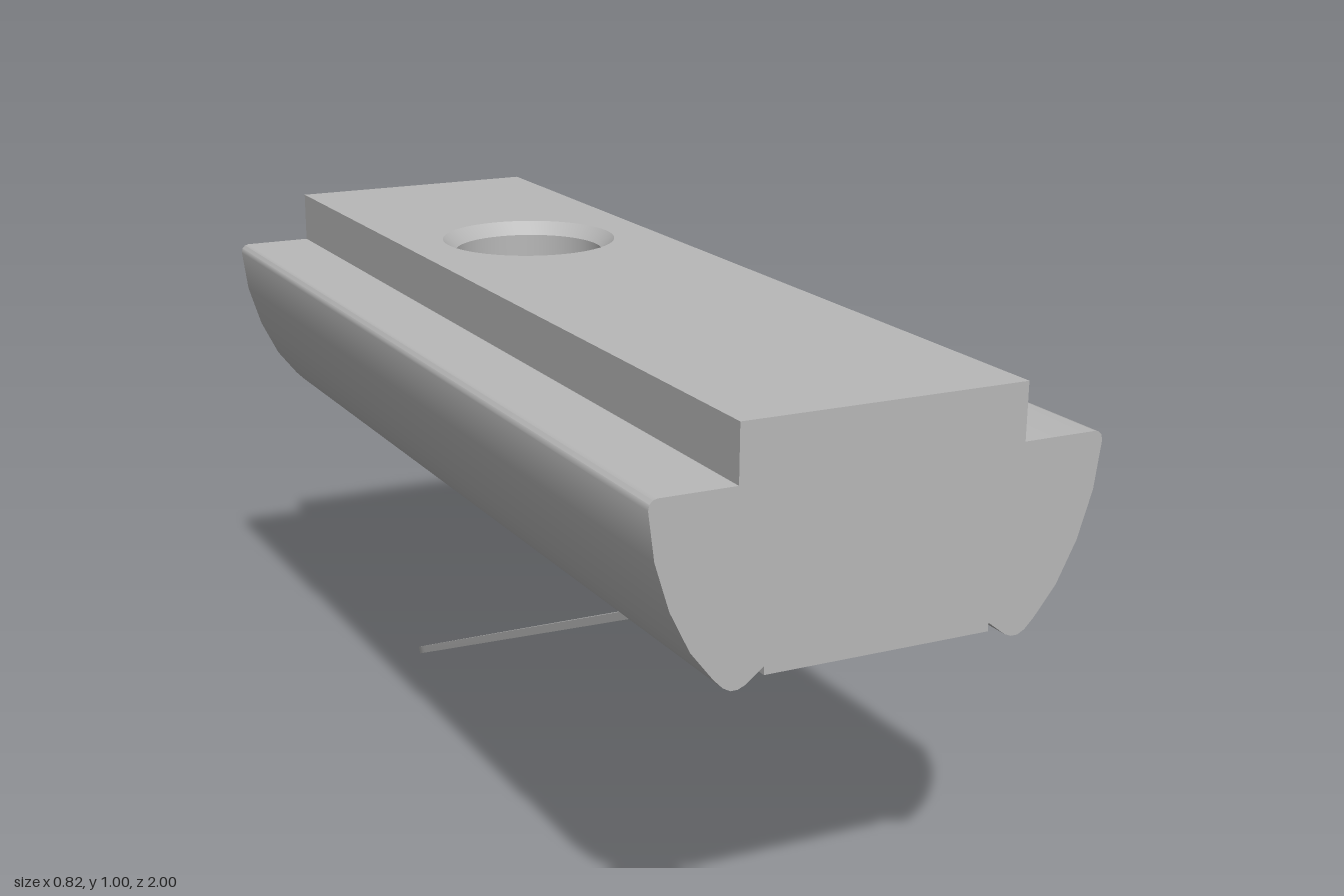
import * as THREE from 'three';
import { toCreasedNormals } from 'three/addons/utils/BufferGeometryUtils.js';

// Right half of the cross-section, from the top corner down to the groove
const PROFILE = [
  [0.26, 1], [0.26, 0.9], [0.396, 0.9], [0.404, 0.898], [0.41, 0.892], [0.412, 0.882],
  [0.401, 0.8], [0.375, 0.717], [0.339, 0.645], [0.298, 0.593],
  [0.281, 0.576], [0.268, 0.569], [0.255, 0.569], [0.243, 0.574], [0.231, 0.583], [0.209, 0.6],
];
const HALF = 1;            // half length of the bar
const HOLE_Z = -0.35, HOLE_R = 0.15, SINK_R = 0.175;
const GROOVE_Y = 0.6, GROOVE_X = 0.209;
const SPRING_T = 0.015, BEND_Z = 0.7, SPRING_Y = GROOVE_Y - SPRING_T;

// Swept side wall of the bar
function sideGeometry() {
  const pos = [];
  for (let i = 0; i < PROFILE.length - 1; i++) {
    const [x0, y0] = PROFILE[i], [x1, y1] = PROFILE[i + 1];
    pos.push(x0, y0, HALF, x1, y1, HALF, x1, y1, -HALF);
    pos.push(x0, y0, HALF, x1, y1, -HALF, x0, y0, -HALF);
  }
  const g = new THREE.BufferGeometry();
  g.setAttribute('position', new THREE.Float32BufferAttribute(pos, 3));
  return toCreasedNormals(g, 0.65);
}

// Flat rectangle with a round hole
function drilledPlate(halfWidth, holeRadius, holeY) {
  const s = new THREE.Shape([
    new THREE.Vector2(-halfWidth, -HALF), new THREE.Vector2(halfWidth, -HALF),
    new THREE.Vector2(halfWidth, HALF), new THREE.Vector2(-halfWidth, HALF),
  ]);
  s.holes.push(new THREE.Path().absarc(0, holeY, holeRadius, 0, Math.PI * 2, true));
  return new THREE.ShapeGeometry(s, 24);
}

export function createModel() {
  const steel = new THREE.MeshStandardMaterial({ color: 0xb8b8b8 });
  steel.name = 'steel grey';
  const model = new THREE.Group();
  model.name = 'slotNut';
  const add = (name, geometry, parent) => {
    const m = new THREE.Mesh(geometry, steel);
    m.name = name;
    parent.add(m);
    return m;
  };

  // Bar: side walls and end faces, each turned half round for its twin
  const bar = new THREE.Group();
  bar.name = 'bar';
  model.add(bar);
  const outline = PROFILE.map(([x, y]) => new THREE.Vector2(x, y));
  const mirrored = PROFILE.map(([x, y]) => new THREE.Vector2(-x, y)).reverse();
  const endShape = new THREE.Shape([...outline, ...mirrored]);
  for (const [side, end, turn] of [['leftSide', 'frontEnd', 0], ['rightSide', 'backEnd', Math.PI]]) {
    add(side, sideGeometry(), bar).rotation.y = turn;
    add(end, new THREE.ShapeGeometry(endShape).translate(0, 0, HALF), bar).rotation.y = turn;
  }

  // Top and groove faces, both pierced by the hole
  add('topFace', drilledPlate(0.26, SINK_R, -HOLE_Z).rotateX(-Math.PI / 2).translate(0, 1, 0), bar);
  add('grooveFace', drilledPlate(GROOVE_X, HOLE_R, HOLE_Z).rotateX(Math.PI / 2).translate(0, GROOVE_Y, 0), bar);

  // Hole wall with a chamfered mouth, facing inward
  const holeProfile = [[SINK_R, 1], [HOLE_R, 0.975], [HOLE_R, GROOVE_Y]].map(([r, y]) => new THREE.Vector2(r, y));
  const hole = toCreasedNormals(new THREE.LatheGeometry(holeProfile, 48), 0.5);
  add('holeWall', hole.translate(0, 0, HOLE_Z), bar);

  // Spring: flat foot in the groove, then a sloping round-ended leaf
  const spring = new THREE.Group();
  spring.name = 'leafSpring';
  model.add(spring);
  const footLength = HALF - BEND_Z;
  const foot = new THREE.BoxGeometry(GROOVE_X * 2, SPRING_T, footLength);
  add('springFoot', foot.translate(0, GROOVE_Y - SPRING_T / 2, BEND_Z + footLength / 2), spring);

  const drop = SPRING_Y, run = 1.35;
  const slope = Math.atan2(drop, run);
  const straight = Math.hypot(drop, run) - GROOVE_X;
  const leafShape = new THREE.Shape();
  leafShape.moveTo(-GROOVE_X, 0);
  leafShape.lineTo(GROOVE_X, 0);
  leafShape.lineTo(GROOVE_X, straight);
  leafShape.absarc(0, straight, GROOVE_X, 0, Math.PI, false);
  const leaf = new THREE.ExtrudeGeometry(leafShape, { depth: SPRING_T, bevelEnabled: false, curveSegments: 32 });
  leaf.rotateX(-Math.PI / 2 - slope).translate(0, SPRING_Y, BEND_Z);
  add('springLeaf', toCreasedNormals(leaf, 0.6), spring);

  return model;
}
